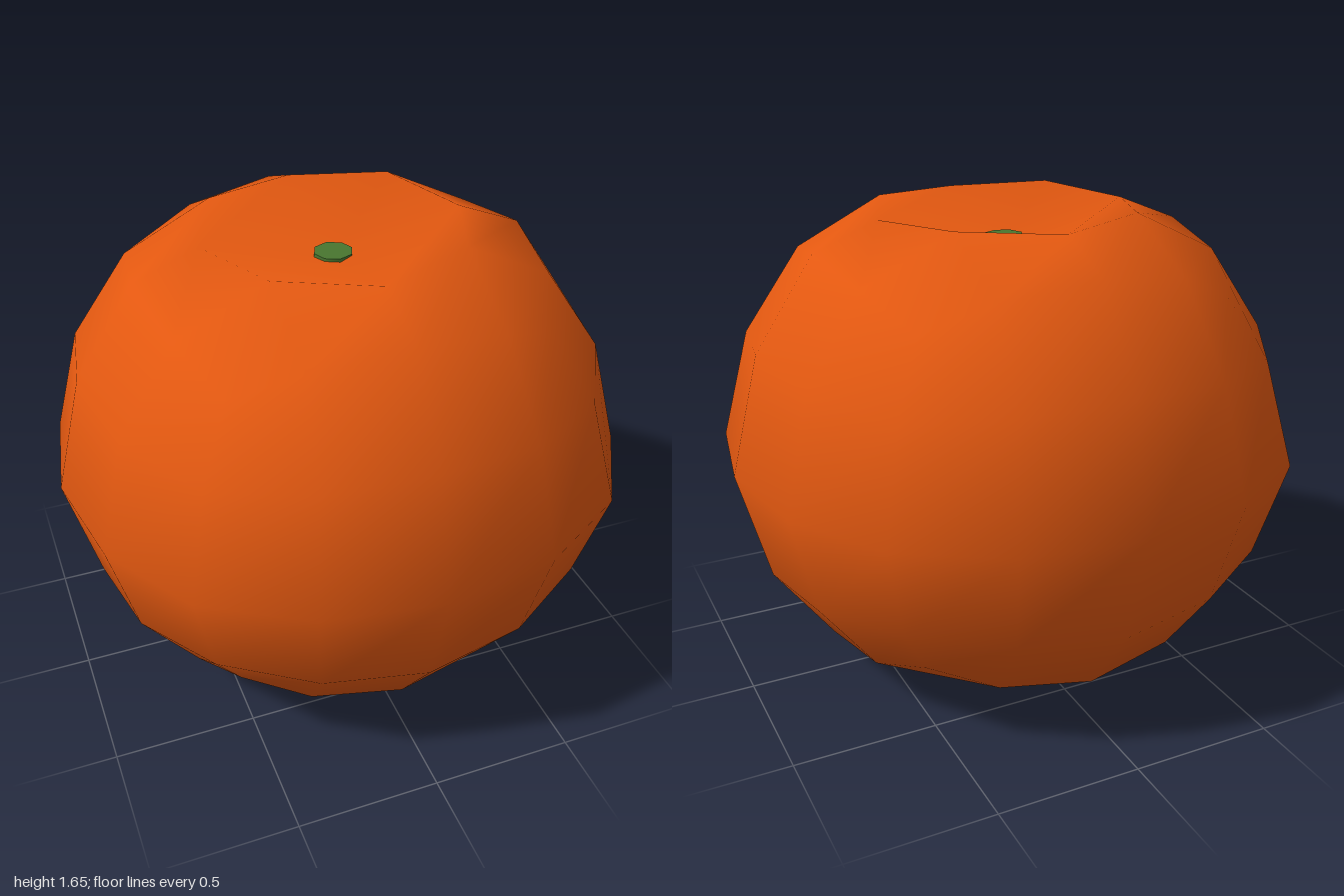
import * as THREE from 'three';
import { mergeVertices } from 'three/addons/utils/BufferGeometryUtils.js';

const CENTRE_Y = 0.825;

// Rounded-cube coordinates: for each kind of grid point, where levels 0, 1/2 and 1 end up
const ROUNDED = {
  '002': [0, 0, 1],
  '012': [0, 0.399, 0.933],
  '112': [0, 0.372, 0.87],
  '022': [0, 0, 0.732],
  '122': [0, 0.344, 0.682],
  '222': [0, 0, 0.58],
};

// Flattened caps, by number of half steps from the pole: [height, horizontal position]
const TOP_CAP = [[0.695, 0], [0.815, 0.46], [0.83, 0.33]];
const BOTTOM_CAP = [[-0.825, 0], [-0.775, 0.39], [-0.735, 0.355]];

function fruitGeometry() {
  let geo = new THREE.BoxGeometry(2, 2, 2, 4, 4, 4);
  geo.deleteAttribute('uv');
  geo.deleteAttribute('normal');
  geo = mergeVertices(geo);
  const pos = geo.attributes.position;

  for (let i = 0; i < pos.count; i++) {
    const grid = [pos.getX(i), pos.getY(i), pos.getZ(i)];
    const level = grid.map((v) => Math.round(Math.abs(v) * 2));
    const table = ROUNDED[[...level].sort().join('')];
    let [x, y, z] = grid.map((v, k) => Math.sign(v) * table[level[k]]);

    if (level[1] === 2 && level[0] < 2 && level[2] < 2) {
      // dimpled top and flattened bottom
      const [height, out] = (y > 0 ? TOP_CAP : BOTTOM_CAP)[level[0] + level[2]];
      x = Math.sign(x) * out;
      z = Math.sign(z) * out;
      y = height;
    } else {
      // sides narrow a little away from the equator
      const a = Math.abs(y);
      const narrow = 1 - 0.06 * Math.min(1, a / 0.6);
      x *= narrow;
      z *= narrow;
      y *= y > 0 ? 1.09 - 0.14 * a : 1.06 - 0.18 * a;
    }
    pos.setXYZ(i, x, y + CENTRE_Y, z);
  }
  geo.computeVertexNormals();
  return geo;
}

export function createModel() {
  const orange = new THREE.MeshStandardMaterial({ color: 0xe35810 });
  orange.name = 'orange peel';
  const green = new THREE.MeshStandardMaterial({ color: 0x49762f });
  green.name = 'stem green';

  const model = new THREE.Group();
  model.name = 'orangeFruit';

  const fruit = new THREE.Mesh(fruitGeometry(), orange);
  fruit.name = 'fruit';
  model.add(fruit);

  // short stem stub sitting in the dimple
  const stem = new THREE.Mesh(new THREE.CylinderGeometry(0.068, 0.068, 0.06, 8), green);
  stem.name = 'stem';
  stem.position.y = 1.52;
  model.add(stem);

  return model;
}
